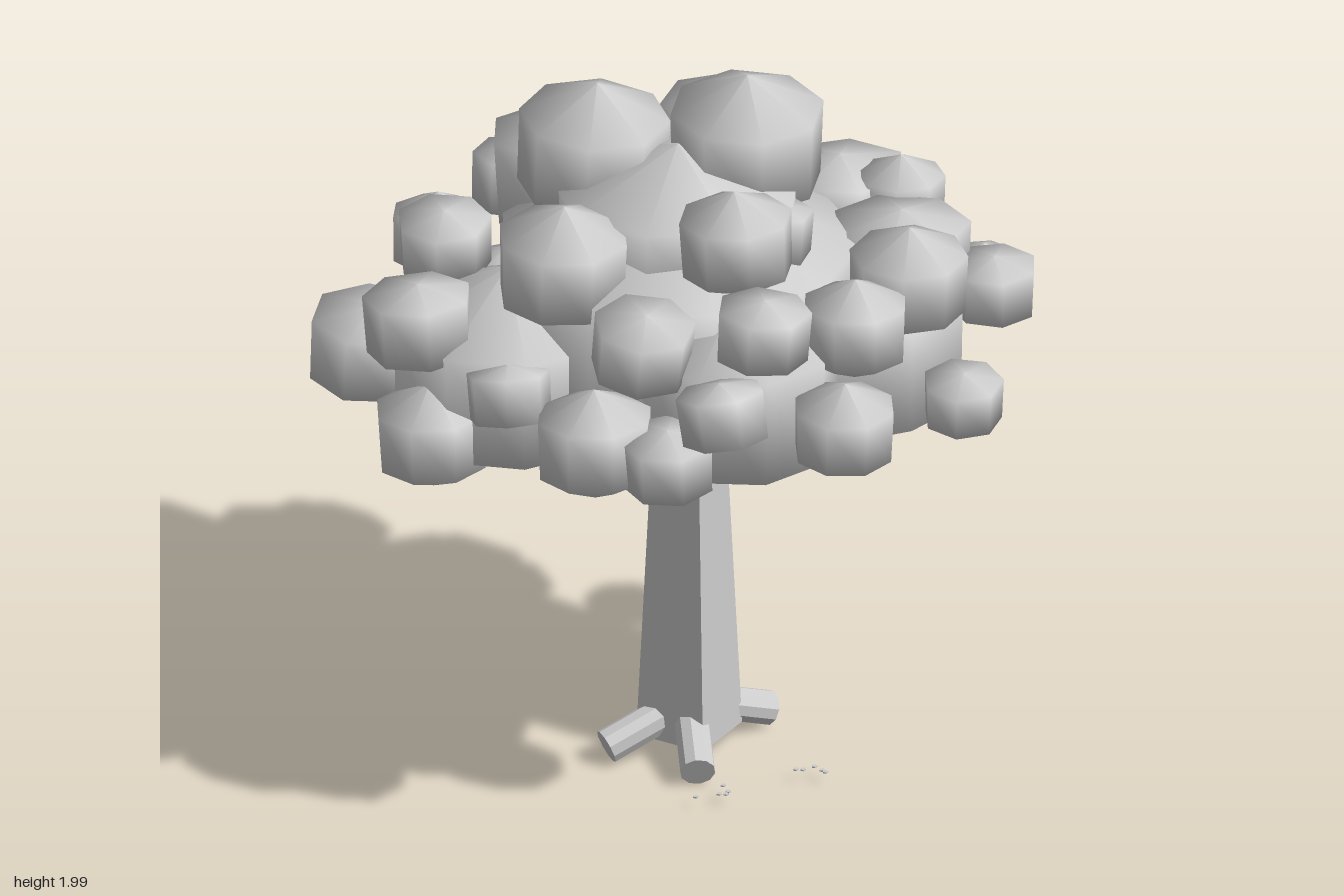
import * as THREE from 'three';

const mat = new THREE.MeshStandardMaterial({ color: 0xcccccc });
const flat = new THREE.MeshStandardMaterial({ color: 0xcccccc, flatShading: true });

let seed = 7;
const rand = () => (seed = (seed * 16807) % 2147483647) / 2147483647;

// Cylinder running between two points
function limb(name, a, b, ra, rb, sides) {
  const from = new THREE.Vector3(...a), to = new THREE.Vector3(...b);
  const dir = to.clone().sub(from);
  const mesh = new THREE.Mesh(new THREE.CylinderGeometry(rb, ra, dir.length(), sides), flat);
  mesh.position.copy(from).lerp(to, 0.5);
  mesh.quaternion.setFromUnitVectors(new THREE.Vector3(0, 1, 0), dir.normalize());
  mesh.name = name;
  return mesh;
}

// Leaf drum: cone base, straight band of radius r and half height w, cone cap
function leafDrum(name, [x, y, z, r], w, cap, sides, tilt) {
  const profile = [[0, -w - cap], [r * 0.97, -w], [r, w], [0, w + cap]].map((p) => new THREE.Vector2(...p));
  const mesh = new THREE.Mesh(new THREE.LatheGeometry(profile, sides), mat);
  mesh.position.set(x, y, z);
  mesh.rotation.set((rand() - 0.5) * tilt, rand() * 6, (rand() - 0.5) * tilt);
  mesh.name = name;
  return mesh;
}

const domedClump = (c) => leafDrum('domedClump', c, c[3] * 0.52, c[3] * 0.48, 8, 0.12);
const flatClump = (c) => leafDrum('flatClump', c, c[3] * 0.55, c[3] * 0.2, 7, 0.3);

export function createModel() {
  const tree = new THREE.Group();
  tree.name = 'tree';

  // Square tapered trunk
  tree.add(limb('trunk', [0.03, 0.06, 0], [0.03, 0.88, 0], 0.147, 0.106, 4));

  // Four roots
  const roots = new THREE.Group();
  roots.name = 'roots';
  [[0.27, -0.07], [-0.21, 0.04], [-0.01, 0.245], [0.09, -0.245]].forEach(([x, z]) => {
    roots.add(limb('root', [0.03 + (x - 0.03) * 0.3, 0.12, z * 0.3], [x, 0.055, z], 0.048, 0.048, 10));
  });
  tree.add(roots);

  // Two branches reaching into the crown
  for (const [name, side] of [['leftBranch', 1], ['rightBranch', -1]]) {
    tree.add(limb(name, [0.04 + side * 0.24, 0.84, -0.09], [0.04 + side * 0.09, 1.06, -0.02], 0.045, 0.03, 10));
  }

  // Inner masses of the crown: a centre, a top and four lobes
  const core = new THREE.Group();
  core.name = 'crownCore';
  core.add(leafDrum('crownCentre', [0, 1.34, 0, 0.5], 0.2, 0.2, 9, 0.1));
  core.add(leafDrum('crownTop', [0, 1.58, 0, 0.34], 0.13, 0.12, 9, 0.1));
  [[0.45, 1.21, 0.06, 0.33], [-0.48, 1.22, 0, 0.32], [0.06, 1.28, 0.38, 0.28], [0.1, 1.25, -0.43, 0.3]]
    .forEach((c) => core.add(leafDrum('crownLobe', c, 0.155, 0.145, 9, 0.2)));
  tree.add(core);

  // Clumps with a pointed cap: x, y, z, radius
  const clumps = new THREE.Group();
  clumps.name = 'leafClumps';
  [
    [-0.19, 1.75, -0.18, 0.205], [0.2, 1.79, -0.04, 0.21], [-0.37, 1.61, 0.19, 0.18],
    [0.07, 1.7, 0.35, 0.155], [0.55, 1.52, 0.34, 0.16], [0.36, 1.48, 0.5, 0.145],
    [0.28, 1.28, 0.69, 0.14], [0.67, 1.49, -0.2, 0.12], [-0.36, 1.22, 0.49, 0.16],
    [-0.72, 1.12, 0.14, 0.155], [0.87, 1.26, -0.1, 0.11], [-0.55, 1.4, -0.46, 0.125],
  ].forEach((c) => clumps.add(domedClump(c)));

  // Clumps with a nearly flat cap: x, y, z, radius
  [
    [0.23, 1.64, -0.38, 0.18], [-0.2, 1.57, -0.42, 0.21], [0.6, 1.44, 0.06, 0.19],
    [0.53, 1.43, -0.31, 0.19], [-0.8, 1.22, -0.22, 0.165], [0.07, 1.57, 0.63, 0.13],
    [-0.23, 1.5, 0.5, 0.14], [-0.74, 1.43, 0.08, 0.15], [0.35, 1.55, -0.59, 0.13],
    [0.13, 1.37, -0.67, 0.155], [-0.11, 1.49, -0.73, 0.13], [0.2, 1.64, 0.2, 0.12],
    [0.83, 1.38, 0.17, 0.12],
  ].forEach((c) => clumps.add(flatClump(c)));

  // Smaller rim clumps: degrees from the front, distance from the middle, height
  for (const [deg, d, y] of [
    [-5, 0.72, 1.38], [-17, 0.65, 1.21], [-59, 0.65, 1.31], [56, 0.81, 1.2], [171, 0.74, 1.2],
    [139, 0.69, 1.2], [-145, 0.6, 1.22], [-151, 0.62, 1.5], [-108, 0.63, 1.52],
  ]) {
    const a = THREE.MathUtils.degToRad(deg);
    clumps.add(flatClump([Math.sin(a) * d, y, Math.cos(a) * d, 0.11 + rand() * 0.02]));
  }
  tree.add(clumps);

  // Tiny fallen leaves around the base
  const leaves = new THREE.Group();
  leaves.name = 'fallenLeaves';
  for (const [x, z] of [[0.3, 0.3], [0, 0.34], [0.05, -0.32]]) {
    for (let i = 0; i < 5; i++) {
      const leaf = new THREE.Mesh(new THREE.CylinderGeometry(0.008, 0.008, 0.004, 5), flat);
      leaf.position.set(x + (rand() - 0.5) * 0.1, 0.045, z + (rand() - 0.5) * 0.06);
      leaf.name = 'fallenLeaf';
      leaves.add(leaf);
    }
  }
  tree.add(leaves);

  return tree;
}
